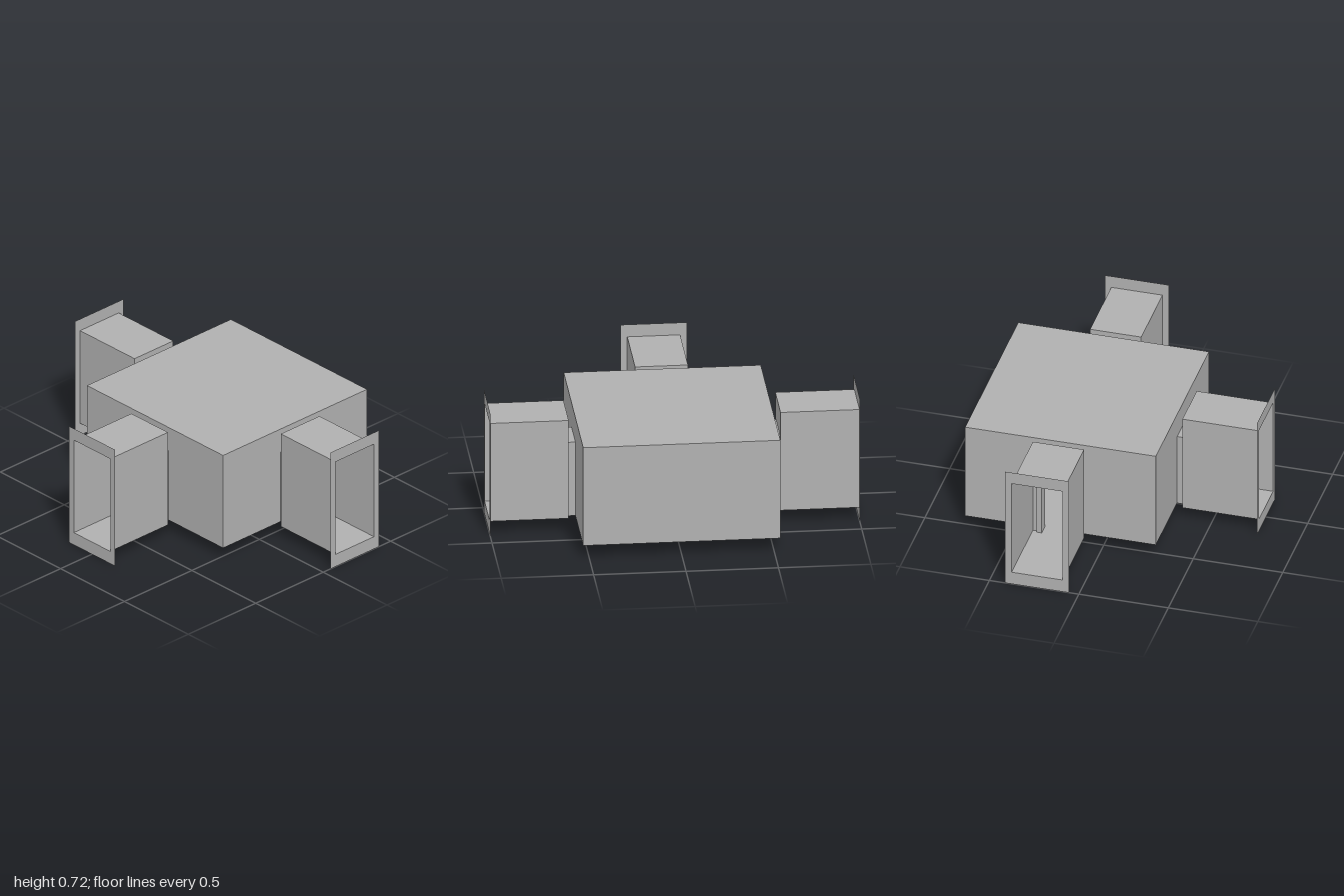
import * as THREE from 'three';

const FLOOR = 0.075, ROOF = 0.645, HALF = 0.533, CENTRE_Z = -0.233;
const NECK_END = 0.573, ARM_END = 1.0;

export function createModel() {
  const model = new THREE.Group();
  model.name = 'roomWithCorridors';
  const wall = new THREE.MeshStandardMaterial({ color: 0xb0b0b0, side: THREE.DoubleSide });
  wall.name = 'plainGrey';

  const add = (parent, name, geometry) => {
    const mesh = new THREE.Mesh(geometry, wall);
    mesh.name = name;
    parent.add(mesh);
    return mesh;
  };

  const rect = (P, hw, y0, y1) => {
    const p = new P();
    p.moveTo(-hw, y0);
    p.lineTo(hw, y0);
    p.lineTo(hw, y1);
    p.lineTo(-hw, y1);
    p.closePath();
    return p;
  };

  // Flat wall across z with an optional rectangular opening
  const panel = (parent, name, z, hw, y0, y1, hole) => {
    const shape = rect(THREE.Shape, hw, y0, y1);
    if (hole) shape.holes.push(rect(THREE.Path, hole[0], FLOOR, hole[1]));
    add(parent, name, new THREE.ShapeGeometry(shape)).position.z = z;
  };

  // Box sides selected by index range: 0-12 sides, 12-24 roof and floor
  const shell = (parent, name, hw, y1, z0, z1, from, to) => {
    const g = new THREE.BoxGeometry(2 * hw, y1 - FLOOR, z1 - z0);
    g.setIndex(Array.from(g.index.array).slice(from, to));
    g.clearGroups();
    add(parent, name, g).position.set(0, (FLOOR + y1) / 2, (z0 + z1) / 2);
  };

  // Door casing: an upside-down U, extruded along z
  const casing = (parent, name, hw, top, z0, z1) => {
    const s = new THREE.Shape();
    [[-hw, FLOOR], [-0.09, FLOOR], [-0.09, 0.49], [0.09, 0.49],
      [0.09, FLOOR], [hw, FLOOR], [hw, top], [-hw, top]]
      .forEach(([x, y], i) => (i ? s.lineTo(x, y) : s.moveTo(x, y)));
    s.closePath();
    const g = new THREE.ExtrudeGeometry(s, { depth: z1 - z0, bevelEnabled: false });
    add(parent, name, g).position.z = z0;
  };

  // Main room
  const room = new THREE.Group();
  room.name = 'room';
  room.position.z = CENTRE_Z;
  model.add(room);
  shell(room, 'roofAndFloor', HALF, ROOF, -HALF, HALF, 12, 24);
  panel(room, 'backWall', -HALF, HALF, FLOOR, ROOF);

  // Three identical corridors, each with its doorway wall
  [['front', 0], ['left', Math.PI / 2], ['right', -Math.PI / 2]].forEach(([side, angle]) => {
    const arm = new THREE.Group();
    arm.name = side + 'Corridor';
    arm.rotation.y = angle;
    room.add(arm);
    panel(arm, 'roomWall', HALF, HALF, FLOOR, ROOF, [0.107, 0.503]);
    shell(arm, 'neck', 0.107, 0.503, HALF, NECK_END, 0, 24);
    casing(arm, 'doorJamb', 0.106, 0.502, HALF, NECK_END);
    casing(arm, 'roomDoorTrim', 0.12, 0.52, HALF - 0.012, HALF - 0.001);
    casing(arm, 'corridorDoorTrim', 0.12, 0.52, NECK_END + 0.001, NECK_END + 0.012);
    panel(arm, 'corridorEndWall', NECK_END, 0.143, FLOOR, ROOF, [0.107, 0.503]);
    shell(arm, 'corridorWalls', 0.143, ROOF, NECK_END, ARM_END, 0, 24);
    panel(arm, 'entranceFlange', ARM_END, 0.179, 0, 0.716, [0.143, ROOF]);
  });

  return model;
}
